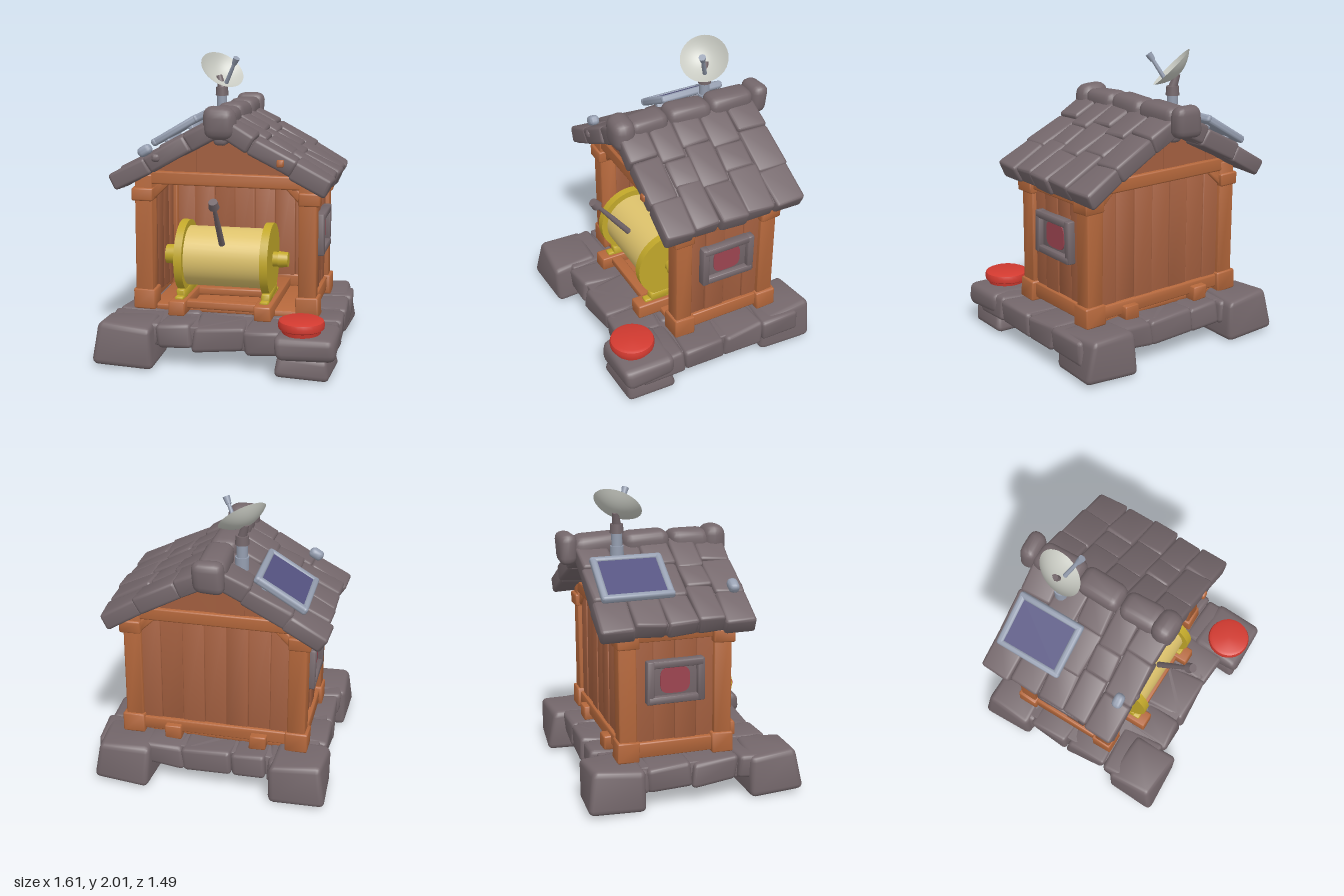
import * as THREE from 'three';
import { mergeVertices, toCreasedNormals } from 'three/addons/utils/BufferGeometryUtils.js';
import { RoundedBoxGeometry } from 'three/addons/geometries/RoundedBoxGeometry.js';

const V = (x, y, z) => new THREE.Vector3(x, y, z);
const paint = (name, color) => Object.assign(new THREE.MeshStandardMaterial({ color }), { name });

export function createModel() {
  const stone = paint('stone', 0x74676b), wood = paint('wood', 0xb4673b), plank = paint('plank', 0xa35f3f);
  const pale = paint('paleYellow', 0xddc26c), gold = paint('gold', 0xc2a82a), blue = paint('solarBlue', 0x53517f);
  const steel = paint('steel', 0x959eb0), white = paint('dishWhite', 0xc8cac2), glass = paint('windowRed', 0x9c4450);
  const red = paint('buttonRed', 0xd23a30);
  white.side = THREE.DoubleSide;

  const model = new THREE.Group();
  let seed = 7;
  const rand = () => (seed = (seed * 16807) % 2147483647) / 2147483647;

  const group = (name, parent = model) => {
    const g = new THREE.Group();
    g.name = name;
    parent.add(g);
    return g;
  };
  const add = (parent, name, geo, mat, pos = [0, 0, 0]) => {
    const m = new THREE.Mesh(geo, mat);
    m.name = name;
    m.position.set(...pos);
    parent.add(m);
    return m;
  };

  // Rounded block between two extents per axis, with uneven sides and an optional taper to the top
  const block = (parent, name, mat, x, y, z, { r = 0.012, wobble = 0.004, taper = 0 } = {}) => {
    const size = [x, y, z].map(a => Math.abs(a[1] - a[0]));
    let geo = new RoundedBoxGeometry(...size, 2, Math.min(r, Math.min(...size) * 0.45));
    geo.deleteAttribute('normal');
    geo.deleteAttribute('uv');
    geo = mergeVertices(geo, 1e-5);
    geo.clearGroups();
    const p = geo.attributes.position, k = rand() * 40;
    for (let i = 0; i < p.count; i++) {
      const a = p.getX(i), b = p.getY(i), c = p.getZ(i), t = 1 - taper * (b / size[1] + 0.5);
      p.setXYZ(i,
        a * t + wobble * Math.sin(13 * b + 9 * c + k),
        b + wobble * Math.sin(8 * a + 11 * c + k * 2),
        c * t + wobble * Math.sin(10 * a + 12 * b + k * 3));
    }
    geo.computeVertexNormals();
    return add(parent, name, toCreasedNormals(geo, 0.7), mat, [x, y, z].map(a => (a[0] + a[1]) / 2));
  };
  const rod = (parent, name, mat, from, to, r0, r1 = r0, sides = 14) => {
    const d = to.clone().sub(from);
    const m = add(parent, name, new THREE.CylinderGeometry(r1, r0, d.length(), sides), mat,
      from.clone().add(to).multiplyScalar(0.5).toArray());
    m.quaternion.setFromUnitVectors(V(0, 1, 0), d.normalize());
    return m;
  };

  // Stone base: paved platform on four corner blocks
  const base = group('stoneBase');
  block(base, 'platformCore', stone, [-0.72, 0.74], [0.12, 0.265], [-0.58, 0.57]);
  const bx = [-0.76, -0.4, -0.165, 0.18, 0.44, 0.78], bz = [-0.63, -0.33, -0.03, 0.28, 0.6];
  for (let i = 0; i < 5; i++) for (let j = 0; j < 4; j++) {
    block(base, 'pavingStone', stone, [bx[i], bx[i + 1]], [0.1 + rand() * 0.015, 0.275], [bz[j], bz[j + 1]],
      { r: 0.03, wobble: 0.012 });
  }
  const rock = { r: 0.04, wobble: 0.012, taper: 0.12 };
  block(base, 'cornerBlock', stone, [-0.81, -0.4], [0, 0.285], [0.35, 0.72], rock);
  block(base, 'cornerBlock', stone, [-0.81, -0.42], [0, 0.285], [-0.73, -0.34], rock);
  block(base, 'cornerBlock', stone, [0.38, 0.77], [0, 0.285], [-0.74, -0.34], rock);
  block(base, 'lowerCornerBlock', stone, [0.41, 0.77], [0, 0.15], [0.36, 0.72], rock);
  block(base, 'upperCornerBlock', stone, [0.4, 0.79], [0.13, 0.285], [0.36, 0.735], { r: 0.05, wobble: 0.01 });

  // Red push button
  const button = [[0, 0], [0.125, 0], [0.13, 0.025], [0.148, 0.035], [0.152, 0.06], [0.145, 0.083], [0.125, 0.092], [0, 0.085]];
  add(model, 'redButton', toCreasedNormals(new THREE.LatheGeometry(button.map(p => new THREE.Vector2(...p)), 28), 0.6),
    red, [0.56, 0.28, 0.58]);

  // Timber frame; the hut is centred slightly to one side
  const hut = group('hut');
  hut.position.x = -0.015;
  for (const s of [-1, 1]) {
    const span = (a, b) => [Math.min(s * a, s * b), Math.max(s * a, s * b)];
    for (const [z0, z1] of [[0.15, 0.27], [-0.49, -0.37]]) {
      block(hut, 'cornerPost', wood, span(0.5, 0.622), [0.28, 1.22], [z0, z1]);
      block(hut, 'postFoot', wood, span(0.488, 0.642), [0.28, 0.42], [z0 - 0.014, z1 + 0.014]);
      block(hut, 'postHead', wood, span(0.495, 0.642), [1.04, 1.13], [z0 - 0.014, z1 + 0.014]);
    }
    block(hut, 'sideSill', wood, span(0.53, 0.615), [0.3, 0.405], [-0.4, 0.18]);
    block(hut, 'sideTopBeam', wood, span(0.53, 0.61), [1.07, 1.19], [-0.4, 0.18]);
    for (let i = 0; i < 4; i++) {
      const d = 0.006 * (i % 2);
      block(hut, 'sidePlank', plank, span(0.53, 0.595 - d), [0.33, 1.2], [-0.4 + i * 0.145, -0.255 + i * 0.145], { r: 0.008, wobble: 0.002 });
    }
    // Corner braces, front and back
    for (const z of [0.21, -0.455]) {
      block(hut, 'cornerBrace', wood, [s * 0.47 - 0.075, s * 0.47 + 0.075], [1.09, 1.15], [z - 0.025, z + 0.025])
        .rotation.z = -s * Math.PI / 4;
    }
    // Window with a sunken red pane
    const win = group('window', hut);
    const frame = { r: 0.012, wobble: 0.002 };
    for (const z of [[0.03, 0.08], [-0.31, -0.26]]) block(win, 'windowSide', stone, span(0.58, 0.648), [0.665, 0.955], z, frame);
    for (const y of [[0.665, 0.715], [0.905, 0.955]]) block(win, 'windowRail', stone, span(0.58, 0.648), y, [-0.3, 0.07], frame);
    block(win, 'windowBack', stone, span(0.58, 0.612), [0.69, 0.93], [-0.29, 0.06], frame);
    const pane = new THREE.Shape();
    pane.absellipse(0, 0, 0.1, 0.088, 0, Math.PI * 2);
    const pts = pane.getPoints(24).map(p => new THREE.Vector2( // squared-off oval
      0.1 * Math.sign(p.x) * Math.abs(p.x / 0.1) ** 0.55, 0.088 * Math.sign(p.y) * Math.abs(p.y / 0.088) ** 0.55));
    add(win, 'windowPane', new THREE.ExtrudeGeometry(new THREE.Shape(pts), { depth: 0.008, bevelEnabled: false }), glass,
      [s * 0.611, 0.815, -0.115]).rotation.y = s * Math.PI / 2;
  }
  for (const z of [[0.16, 0.265], [-0.485, -0.38]]) block(hut, 'crossBeam', wood, [-0.6, 0.6], [1.15, 1.24], z);
  block(hut, 'backSill', wood, [-0.53, 0.53], [0.31, 0.4], [-0.48, -0.4]);
  block(hut, 'floor', wood, [-0.53, 0.53], [0.265, 0.31], [-0.44, 0.24]);
  for (let i = 0; i < 7; i++) {
    const x = -0.525 + i * 0.15, d = 0.006 * (i % 2);
    block(hut, 'backPlank', plank, [x, x + 0.15], [0.31, 1.2], [-0.46 + d, -0.41 + d], { r: 0.008, wobble: 0.002 });
  }

  // Gable planks cut to the slope
  const gx = [-0.57, -0.38, -0.2, -0.015, 0.17, 0.36, 0.57];
  const top = x => 1.52 - 0.554 * Math.abs(x + 0.015);
  for (const z of [0.185, -0.465]) for (let i = 0; i < 6; i++) {
    const [a, b] = [gx[i], gx[i + 1]];
    const sh = new THREE.Shape([[a, 1.18], [b, 1.18], [b, top(b)], [a, top(a)]].map(p => new THREE.Vector2(...p)));
    add(hut, 'gablePlank', new THREE.ExtrudeGeometry(sh, { depth: 0.05, bevelEnabled: false }), plank, [0, 0, z + 0.006 * (i % 2)]);
  }
  block(hut, 'purlinEnd', wood, [0.37, 0.42], [1.32, 1.37], [0.15, 0.405]);

  // Roof: two slopes of stone tiles
  const roof = group('roof'), pitch = 0.506;
  const rz = [-0.63, -0.41, -0.2, 0.0, 0.18, 0.385];
  for (const s of [-1, 1]) {
    const slope = group('roofSlope', roof);
    slope.position.set(-0.03, 1.57, 0);
    slope.rotation.z = -s * pitch;
    const span = (a, b) => [Math.min(s * a, s * b), Math.max(s * a, s * b)];
    block(slope, 'roofBoard', stone, span(0.02, 0.8), [-0.055, 0.035], [-0.61, 0.365]);
    for (let j = 0; j < 5; j++) {
      const cuts = [0.02, 0.25 + 0.06 * (j % 2), 0.5 + 0.06 * ((j + 1) % 2), 0.815 + rand() * 0.02];
      for (let i = 0; i < 3; i++) {
        const h = 0.055 + rand() * 0.016;
        block(slope, 'roofTile', stone, span(cuts[i] - 0.01, cuts[i + 1]), [-0.06, h], [rz[j], rz[j + 1]], { r: 0.022, wobble: 0.007 })
          .rotation.z = s * 0.02;
      }
    }
  }
  // Ridge stones with heavier ends
  const rr = [-0.64, -0.3, 0.02, 0.3];
  for (let i = 0; i < 3; i++) block(roof, 'ridgeStone', stone, [-0.125, 0.065], [1.52, 1.68], [rr[i], rr[i + 1]], { r: 0.06, wobble: 0.006 });
  block(roof, 'ridgeFrontCap', stone, [-0.145, 0.075], [1.48, 1.7], [0.26, 0.42], { r: 0.075, wobble: 0.006 });
  block(roof, 'ridgeBackCap', stone, [-0.135, 0.07], [1.48, 1.69], [-0.74, -0.62], { r: 0.06, wobble: 0.006 });
  block(roof, 'ridgeBeam', stone, [-0.075, 0.015], [1.44, 1.54], [-0.6, 0.36], { r: 0.03 });
  block(roof, 'roofPeg', stone, [-0.49, -0.43], [1.32, 1.38], [0.3, 0.4], { r: 0.025 });
  block(roof, 'roofPebble', steel, [-0.6, -0.5], [1.35, 1.42], [0.27, 0.34], { r: 0.03 }).rotation.z = pitch;

  // Solar panel
  const solar = group('solarPanel');
  solar.position.set(-0.465, 1.465, -0.35);
  solar.rotation.z = 0.53;
  block(solar, 'panelBack', steel, [-0.18, 0.18], [-0.025, 0.012], [-0.23, 0.23], { wobble: 0 });
  add(solar, 'panelCells', new THREE.BoxGeometry(0.31, 0.006, 0.4), blue, [0, 0.014, 0]);
  for (const s of [-1, 1]) {
    block(solar, 'panelRim', steel, [s * 0.172 - 0.022, s * 0.172 + 0.022], [-0.025, 0.028], [-0.24, 0.24], { r: 0.02, wobble: 0.002 });
    block(solar, 'panelRim', steel, [-0.19, 0.19], [-0.025, 0.028], [s * 0.215 - 0.024, s * 0.215 + 0.024], { r: 0.02, wobble: 0.002 });
    block(solar, 'panelLeg', steel, [s * 0.1 - 0.02, s * 0.1 + 0.02], [-0.1, -0.01], [-0.17, 0.17]);
  }

  // Satellite dish on a mast
  const dish = group('satelliteDish');
  rod(dish, 'mast', steel, V(-0.175, 1.46, -0.37), V(-0.175, 1.72, -0.37), 0.036, 0.036, 18);
  rod(dish, 'mastFoot', steel, V(-0.175, 1.5, -0.37), V(-0.175, 1.615, -0.37), 0.045, 0.045, 18);
  rod(dish, 'mastCollar', stone, V(-0.175, 1.7, -0.37), V(-0.175, 1.76, -0.37), 0.046, 0.042, 18);
  rod(dish, 'mastNeck', stone, V(-0.175, 1.75, -0.37), V(-0.2, 1.84, -0.385), 0.03, 0.022);
  const bowl = Array.from({ length: 9 }, (_, i) => new THREE.Vector2(0.165 * i / 8, 0.07 * ((i / 8) ** 2 - 1)));
  add(dish, 'bowl', new THREE.LatheGeometry(bowl, 32), white, [-0.17, 1.885, -0.36])
    .quaternion.setFromUnitVectors(V(0, 1, 0), V(0.53, 0.71, 0.47).normalize());
  rod(dish, 'feedArm', steel, V(-0.14, 1.79, -0.35), V(-0.06, 1.95, -0.285), 0.015, 0.012);
  rod(dish, 'feedHead', steel, V(-0.07, 1.93, -0.293), V(-0.048, 1.972, -0.274), 0.018, 0.024);

  // Winch: drum, flanges, hubs, crank and cradle
  const winch = group('winch');
  const axial = (name, mat, x0, x1, r0, r1 = r0) => rod(winch, name, mat, V(x0, 0.645, 0.14), V(x1, 0.645, 0.14), r0, r1, 40);
  axial('drum', pale, -0.29, 0.25, 0.205);
  for (const x of [-0.315, 0.27]) {
    axial('flange', gold, x - 0.027, x + 0.027, 0.247);
    block(winch, 'drumFoot', gold, [x - 0.03, x + 0.03], [0.37, 0.44], [-0.02, 0.3]);
    block(winch, 'drumFootPlate', gold, [x - 0.03, x + 0.03], [0.37, 0.395], [-0.06, 0.345]);
    block(winch, 'cradleBeam', wood, [x - 0.06, x + 0.055], [0.275, 0.375], [-0.525, 0.405]);
  }
  axial('axle', gold, -0.42, 0.36, 0.05);
  axial('hub', gold, -0.45, -0.375, 0.066, 0.07);
  axial('hub', gold, 0.335, 0.4, 0.056, 0.05);
  for (const z of [[0.25, 0.33], [-0.1, -0.02]]) block(winch, 'cradleCrossbar', wood, [-0.3, 0.25], [0.315, 0.37], z);
  rod(winch, 'crankGrip', stone, V(-0.025, 0.77, 0.305), V(-0.025, 0.93, 0.428), 0.021, 0.019);
  rod(winch, 'crankRod', stone, V(-0.025, 0.92, 0.42), V(-0.025, 1.08, 0.543), 0.019, 0.012);
  rod(winch, 'crankKnob', stone, V(-0.025, 1.065, 0.53), V(-0.025, 1.108, 0.563), 0.036, 0.03);

  return model;
}
